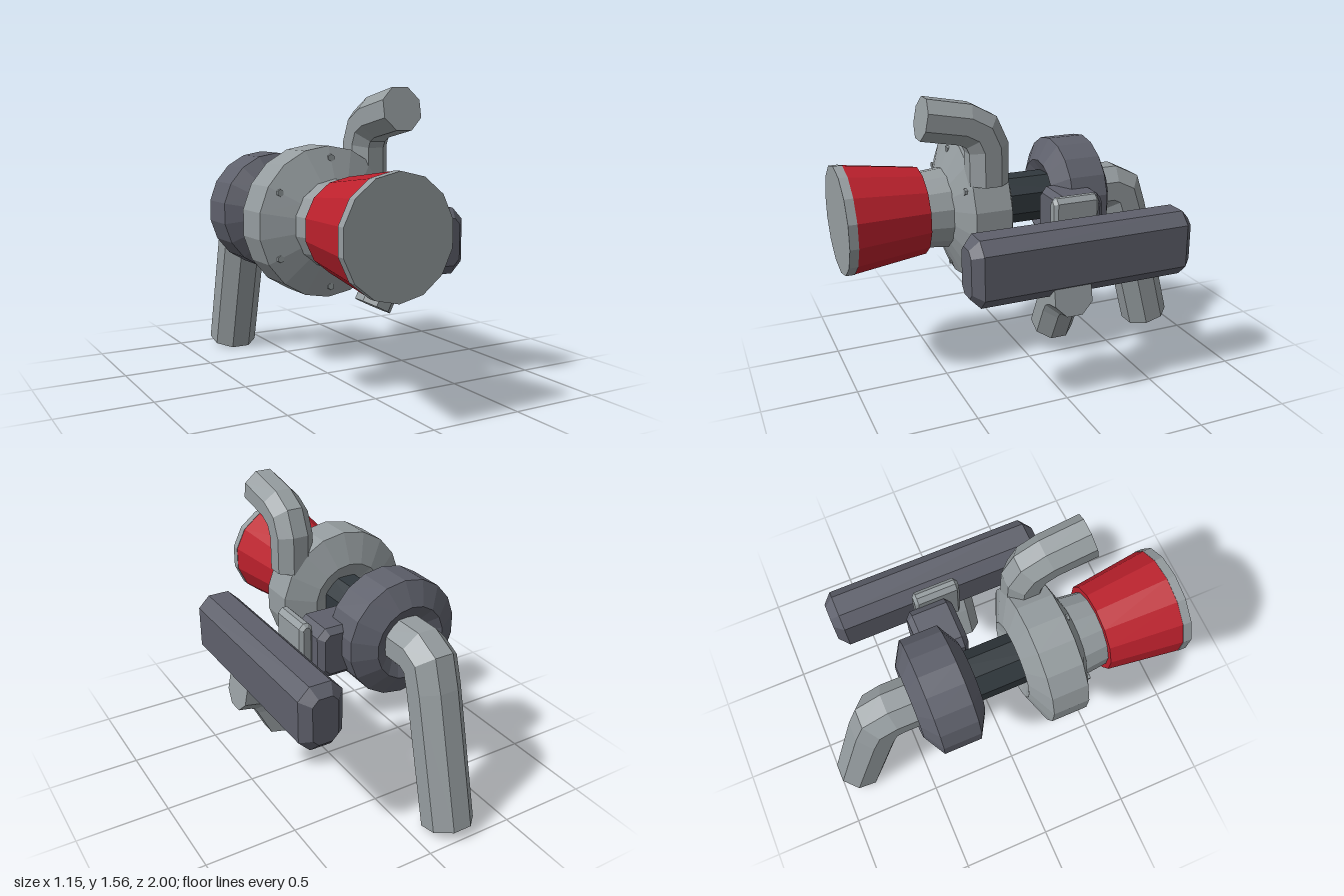
import * as THREE from 'three';

const mat = (name, color) => Object.assign(new THREE.MeshStandardMaterial({ color }), { name });
const AX = -0.2, AY = 0.905; // main axis, running along z

// Faceted normals
function facet(geo) {
  const g = geo.index ? geo.toNonIndexed() : geo;
  g.computeVertexNormals();
  return g;
}

// Lathe around the main axis; profile is [radius, z] with rising z on the outside
function turned(profile, sides) {
  const g = new THREE.LatheGeometry(profile.map(p => new THREE.Vector2(...p)), sides);
  g.rotateX(Math.PI / 2);
  g.translate(AX, AY, 0);
  return facet(g);
}

// Ring with a six-sided section, pointed towards front and back
function ringHousing(outer, mid, inner, z, flat, half, sides) {
  return turned([[inner, z - flat], [mid, z - half], [outer, z - flat],
    [outer, z + flat], [mid, z + half], [inner, z + flat]], sides);
}

// Mitred octagonal pipe along points lying in the plane perpendicular to axis
function pipe(points, axis, apothem) {
  const n = 8, r = apothem / Math.cos(Math.PI / n), pos = [], idx = [];
  const dirs = points.slice(1).map((p, i) => p.clone().sub(points[i]).normalize());
  points.forEach((p, i) => {
    const d0 = dirs[Math.max(i - 1, 0)], d1 = dirs[Math.min(i, dirs.length - 1)];
    const t = d0.clone().add(d1).normalize();
    const side = axis.clone().cross(t), miter = 1 / t.dot(d1);
    for (let j = 0; j < n; j++) {
      const a = (j + 0.5) / n * Math.PI * 2;
      const v = p.clone().addScaledVector(side, Math.cos(a) * r * miter)
        .addScaledVector(axis, Math.sin(a) * r);
      pos.push(v.x, v.y, v.z);
    }
  });
  const last = (points.length - 1) * n;
  for (let i = 0; i < last; i += n) {
    for (let j = 0; j < n; j++) {
      const a = i + j, b = i + (j + 1) % n;
      idx.push(a, b, a + n, b, b + n, a + n);
    }
  }
  for (let j = 1; j < n - 1; j++) idx.push(0, j + 1, j, last, last + j, last + j + 1);
  const g = new THREE.BufferGeometry();
  g.setAttribute('position', new THREE.Float32BufferAttribute(pos, 3));
  g.setIndex(idx);
  return facet(g);
}

// Box with cut corners and chamfered ends, extruded along z
function chamferBox(w, h, d, cut, bevel) {
  const x = w / 2 - bevel, y = h / 2 - bevel;
  const c = Math.max(cut - bevel * 0.586, 0.004);
  const shape = new THREE.Shape([[x, -y + c], [x, y - c], [x - c, y], [-x + c, y],
    [-x, y - c], [-x, -y + c], [-x + c, -y], [x - c, -y]].map(p => new THREE.Vector2(...p)));
  const g = new THREE.ExtrudeGeometry(shape, {
    depth: d - 2 * bevel, bevelEnabled: true, bevelSegments: 1, bevelSize: bevel, bevelThickness: bevel,
  });
  g.translate(0, 0, -(d / 2 - bevel));
  return facet(g);
}

export function createModel() {
  const light = mat('light metal', 0x959c9f);
  const dark = mat('dark metal', 0x5e606b);
  const black = mat('shaft metal', 0x30383d);
  const red = mat('red hose', 0xbb202c);

  const group = new THREE.Group();
  group.name = 'turbocharger';
  const add = (name, geo, material, x = 0, y = 0, z = 0) => {
    const m = new THREE.Mesh(geo, material);
    m.name = name;
    m.position.set(x, y, z);
    group.add(m);
    return m;
  };

  // Housings and the shaft joining them
  add('compressorHousing', ringHousing(0.378, 0.215, 0.08, 0.267, 0.098, 0.165, 18), light);
  add('turbineHousing', ringHousing(0.32, 0.2, 0.08, -0.31, 0.103, 0.172, 18), dark);
  const shaft = new THREE.CylinderGeometry(0.14, 0.14, 0.57, 8);
  shaft.rotateY(Math.PI / 8).rotateX(Math.PI / 2);
  add('shaft', facet(shaft), black, AX, AY, -0.015);

  // Intake: neck, red hose and end plate
  add('intakeNeck', turned([[0, 0.3], [0.225, 0.38], [0.205, 0.57], [0, 0.57]], 14), light);
  add('intakeHose', turned([[0, 0.56], [0.238, 0.56], [0.29, 0.955], [0, 0.955]], 14), red);
  add('intakePlate', turned([[0, 0.953], [0.292, 0.953], [0.292, 1], [0, 1]], 14), light);

  // Six bolts on the front slope of the compressor
  for (let i = 0; i < 6; i++) {
    const a = Math.PI / 2 + i * Math.PI / 3;
    const bolt = new THREE.CylinderGeometry(0.018, 0.018, 0.03, 6);
    bolt.rotateX(Math.PI / 2);
    add('bolt', facet(bolt), light, AX + Math.cos(a) * 0.32, AY + Math.sin(a) * 0.32, 0.382);
  }

  // Pipes
  const xAxis = new THREE.Vector3(1, 0, 0), zAxis = new THREE.Vector3(0, 0, 1);
  const inYZ = (x, pts) => pts.map(([z, y]) => new THREE.Vector3(x, y, z));
  add('exhaustPipe', pipe(inYZ(AX, [[-0.35, AY], [-0.58, AY], [-0.65, 0.87], [-0.69, 0.75],
    [-0.874, 0.033]]), xAxis, 0.128), light);
  add('outletPipe', pipe(inYZ(0.07, [[0.27, 1.1], [0.27, 1.29], [0.308, 1.375], [0.39, 1.42],
    [0.607, 1.462]]), xAxis, 0.105), light);
  add('elbowPipe', pipe([[0.295, 0.352], [0.375, 0.51], [0.412, 0.565], [0.47, 0.594], [0.555, 0.61]]
    .map(([x, y]) => new THREE.Vector3(x, y, 0)), zAxis, 0.102), light);

  // Side actuator with its mounting block and plate
  add('actuatorBody', chamferBox(0.24, 0.35, 1.22, 0.062, 0.05), dark, 0.432, 0.775, -0.093);
  add('mountBlock', chamferBox(0.3, 0.28, 0.255, 0.045, 0.03), dark, 0.093, 0.87, -0.203);
  add('mountPlate', chamferBox(0.076, 0.35, 0.255, 0.025, 0.018), light, 0.278, 0.862, -0.135);

  return group;
}
